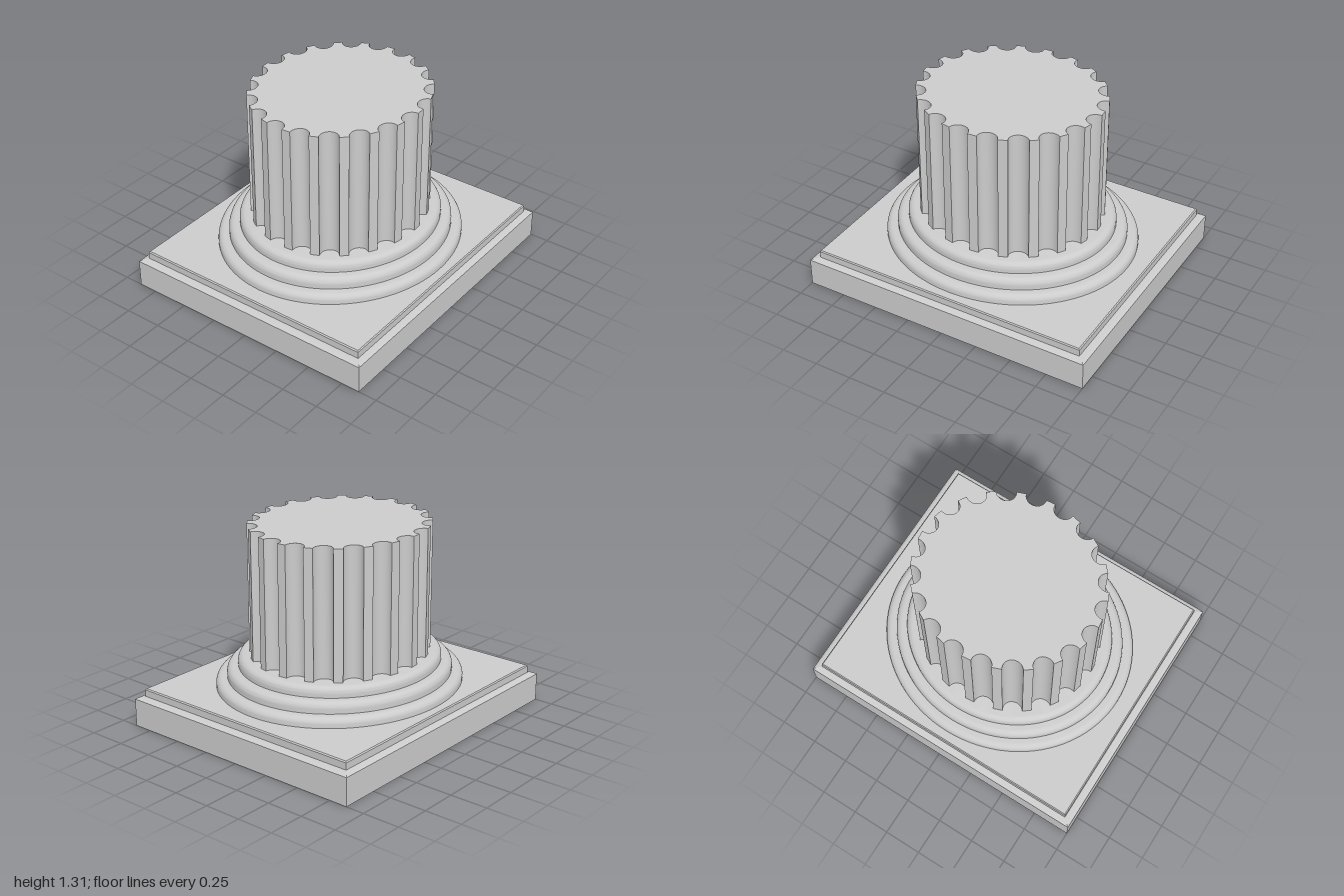
import * as THREE from 'three';
import { toCreasedNormals } from 'three/addons/utils/BufferGeometryUtils.js';

const Z_SQUASH = 0.917; // round parts are slightly elliptical
const material = new THREE.MeshStandardMaterial({ color: 0xcccccc });

function addPart(group, name, geometry) {
  const mesh = new THREE.Mesh(geometry, material);
  mesh.name = name;
  group.add(mesh);
}

// Rectangular slab with a profile of [half width, height] pairs
function slab(profile) {
  const points = profile.map(([x, y]) => new THREE.Vector2(x * Math.SQRT2, y));
  const g = new THREE.LatheGeometry(points, 4);
  g.rotateY(Math.PI / 4);
  g.scale(1, 1, 0.875);
  return toCreasedNormals(g, 0.2);
}

// Disc with a rounded upper edge
function moulding(radius, y0, y1, round) {
  const points = [new THREE.Vector2(0, y0), new THREE.Vector2(radius, y0)];
  for (let i = 0; i <= 8; i++) {
    const t = (i / 8) * Math.PI / 2;
    points.push(new THREE.Vector2(
      radius - round + round * Math.cos(t),
      y1 - round + round * Math.sin(t)
    ));
  }
  points.push(new THREE.Vector2(0, y1));
  const g = new THREE.LatheGeometry(points, 96);
  g.scale(1, 1, Z_SQUASH);
  return toCreasedNormals(g, 0.6);
}

// Column drum with semicircular flutes cut into its rim
function flutedShaft(radius, fluteRadius, count, y0, y1) {
  const points = [];
  const steps = 14;
  for (let k = 0; k < count; k++) {
    const a = (k / count) * Math.PI * 2 - THREE.MathUtils.degToRad(4);
    for (let i = 0; i <= steps; i++) {
      const t = a - Math.PI / 2 - (i / steps) * Math.PI;
      points.push(new THREE.Vector2(
        radius * Math.cos(a) + fluteRadius * Math.cos(t),
        radius * Math.sin(a) + fluteRadius * Math.sin(t)
      ));
    }
  }
  const g = new THREE.ExtrudeGeometry(new THREE.Shape(points), { depth: y1 - y0, bevelEnabled: false });
  g.rotateX(-Math.PI / 2);
  g.translate(0, y0, 0);
  g.scale(1, 1, Z_SQUASH);
  return toCreasedNormals(g, 0.5);
}

export function createModel() {
  const group = new THREE.Group();
  group.name = 'columnBase';

  // Square foot and the thin step on it
  addPart(group, 'plinth', slab([[0, 0], [1, 0], [1, 0.185], [0.985, 0.193], [0.95, 0.2], [0, 0.2]]));
  addPart(group, 'plinthStep', slab([[0, 0.19], [0.95, 0.19], [0.95, 0.245], [0.943, 0.253], [0, 0.253]]));

  // Three stacked round mouldings
  addPart(group, 'lowerMoulding', moulding(0.84, 0.25, 0.315, 0.045));
  addPart(group, 'middleMoulding', moulding(0.765, 0.31, 0.388, 0.045));
  addPart(group, 'upperMoulding', moulding(0.69, 0.385, 0.457, 0.045));

  // Fluted column drum
  addPart(group, 'shaft', flutedShaft(0.61, 0.065, 20, 0.44, 1.312));

  return group;
}
